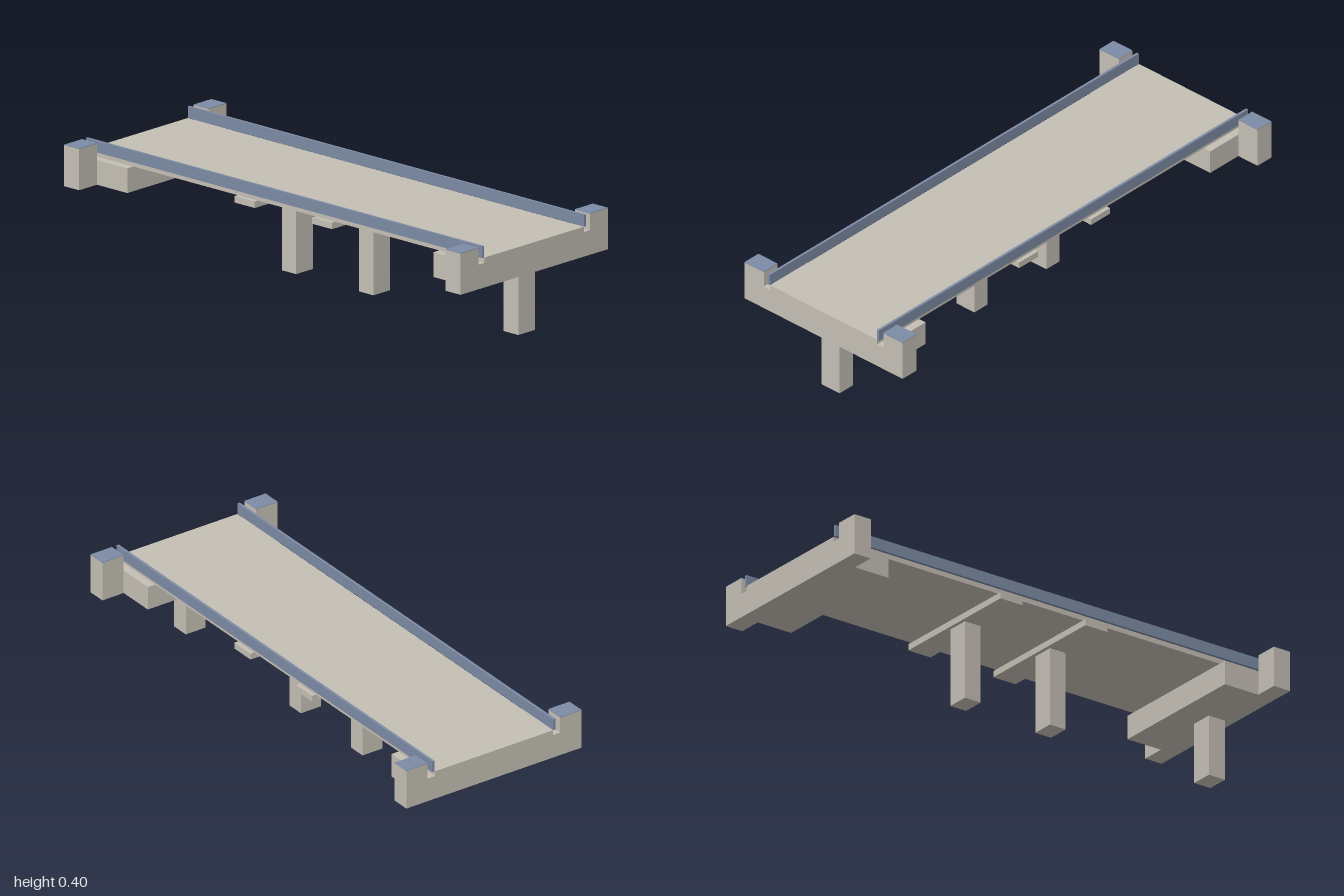
import * as THREE from 'three';

export function createModel() {
  const model = new THREE.Group();
  model.name = 'bridge';
  const concrete = new THREE.MeshStandardMaterial({ color: 0xc4bfb5 });
  concrete.name = 'concrete';
  const steel = new THREE.MeshStandardMaterial({ color: 0x7c8ba5 });
  steel.name = 'blue steel';

  // Box given by its lower and upper limits on each axis
  function box(name, material, [x0, x1], [y0, y1], [z0, z1], parent = model) {
    const mesh = new THREE.Mesh(new THREE.BoxGeometry(x1 - x0, y1 - y0, z1 - z0), material);
    mesh.position.set((x0 + x1) / 2, (y0 + y1) / 2, (z0 + z1) / 2);
    mesh.name = name;
    parent.add(mesh);
    return mesh;
  }

  // Road deck
  box('deck', concrete, [-0.267, 0.267], [0.335, 0.355], [-1, 1]);

  // Guard rails along both deck edges
  for (const side of [-1, 1]) {
    const x = side * 0.273;
    box(side > 0 ? 'leftRail' : 'rightRail', steel, [x - 0.005, x + 0.005], [0.355, 0.4], [-1, 1]);
  }

  // Abutments: U-shaped end wall with corner towers, and a bearing block behind
  const profile = new THREE.Shape([
    [-0.395, 0.24], [0.395, 0.24], [0.395, 0.398], [0.299, 0.398],
    [0.299, 0.335], [-0.299, 0.335], [-0.299, 0.398], [-0.395, 0.398],
  ].map(([x, y]) => new THREE.Vector2(x, y)));
  const wallGeometry = new THREE.ExtrudeGeometry(profile, { depth: 0.075, bevelEnabled: false });
  for (const end of [-1, 1]) {
    const abutment = new THREE.Group();
    abutment.name = end > 0 ? 'frontAbutment' : 'backAbutment';
    const wall = new THREE.Mesh(wallGeometry, concrete);
    wall.name = 'endWall';
    wall.position.z = 0.925;
    abutment.add(wall);
    box('bearingBlock', concrete, [-0.299, 0.299], [0.24, 0.335], [0.772, 0.925], abutment);
    for (const side of [-1, 1]) {
      const x = side * 0.347;
      box('towerCap', steel, [x - 0.048, x + 0.048], [0.398, 0.4], [0.925, 1], abutment);
    }
    if (end < 0) abutment.rotation.y = Math.PI;
    model.add(abutment);
  }

  // Column under the front abutment
  box('frontColumn', concrete, [-0.045, 0.045], [0, 0.24], [0.888, 0.962]);

  // Middle piers with cross beams
  for (const z of [-0.195, 0.195]) {
    box('pierColumn', concrete, [-0.045, 0.045], [0, 0.31], [z - 0.036, z + 0.036]);
    box('pierBeam', concrete, [-0.283, 0.283], [0.31, 0.335], [z - 0.051, z + 0.051]);
  }
  return model;
}
